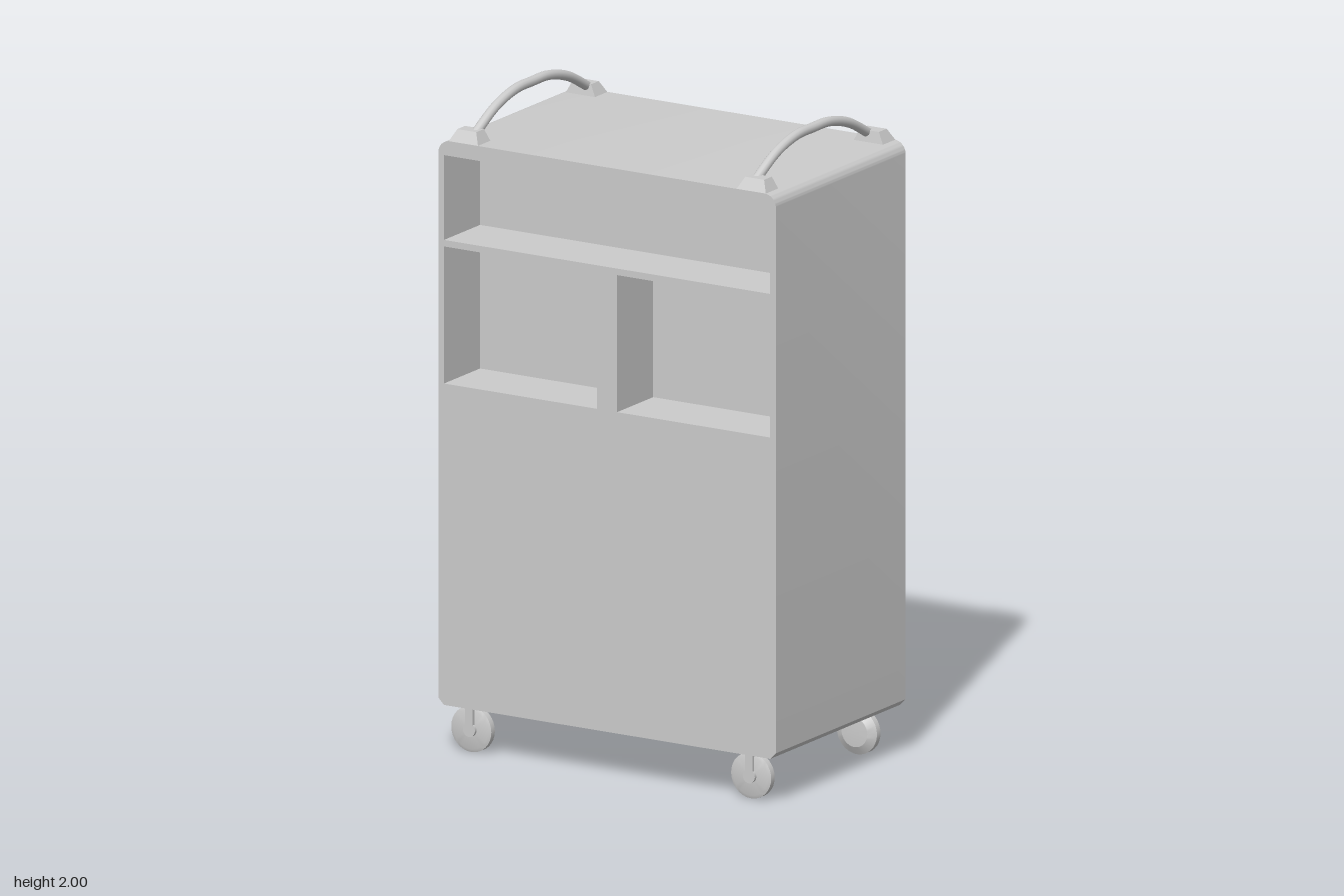
import * as THREE from 'three';
import { toCreasedNormals } from 'three/addons/utils/BufferGeometryUtils.js';

const W = 0.59, D = 0.36, Y0 = 0.145, Y1 = 1.875;
const grey = new THREE.MeshStandardMaterial({ color: 0xcccccc });
const thin = new THREE.MeshStandardMaterial({ color: 0xcccccc, side: THREE.DoubleSide });

function add(parent, name, geometry, material = grey) {
  const mesh = new THREE.Mesh(geometry, material);
  mesh.name = name;
  parent.add(mesh);
  return mesh;
}

// Cabinet outline: bevelled bottom corners, rounded top corners
function outline() {
  const r = 0.04, c = 0.02, s = new THREE.Shape();
  s.moveTo(-W + c, Y0);
  s.lineTo(W - c, Y0);
  s.lineTo(W, Y0 + c);
  s.lineTo(W, Y1 - r);
  s.absarc(W - r, Y1 - r, r, 0, Math.PI / 2);
  s.lineTo(-W + r, Y1);
  s.absarc(-W + r, Y1 - r, r, Math.PI / 2, Math.PI);
  s.lineTo(-W, Y0 + c);
  s.closePath();
  return s;
}

// Flat face of the cabinet with rectangular openings [x0, x1, y0, y1]
function face(openings) {
  const s = outline();
  for (const [x0, x1, y0, y1] of openings) {
    s.holes.push(new THREE.Path([[x0, y0], [x0, y1], [x1, y1], [x1, y0]]
      .map(([x, y]) => new THREE.Vector2(x, y))));
  }
  return new THREE.ShapeGeometry(s, 8);
}

// Outer skin running from back to front along the outline
function skin() {
  const pts = outline().getPoints(8), pos = [];
  pts.forEach((a, i) => {
    const b = pts[(i + 1) % pts.length];
    if (a.distanceTo(b) < 1e-6) return;
    pos.push(a.x, a.y, -D, b.x, b.y, -D, b.x, b.y, D, a.x, a.y, -D, b.x, b.y, D, a.x, a.y, D);
  });
  const g = new THREE.BufferGeometry();
  g.setAttribute('position', new THREE.Float32BufferAttribute(pos, 3));
  return toCreasedNormals(g, 0.6);
}

// Five-sided lining of a compartment, open at the front (dir 1) or back (dir -1)
function lining([x0, x1, y0, y1], depth, dir) {
  const g = new THREE.BoxGeometry(x1 - x0, y1 - y0, depth);
  const index = Array.from(g.index.array);
  index.splice(dir > 0 ? 24 : 30, 6);
  g.setIndex(index);
  g.clearGroups();
  return g.translate((x0 + x1) / 2, (y0 + y1) / 2, dir * (D - depth / 2));
}

// Tapered foot of a handle, standing at the front edge
function footGeometry() {
  const g = new THREE.BoxGeometry(1, 1, 1).toNonIndexed(), p = g.attributes.position;
  for (let i = 0; i < p.count; i++) {
    const top = p.getY(i) > 0, outer = p.getZ(i) > 0;
    p.setXYZ(i, Math.sign(p.getX(i)) * (top ? 0.033 : 0.052), top ? 1.91 : Y1 - 0.002,
      outer ? (top ? 0.34 : D) : (top ? 0.297 : 0.29));
  }
  g.computeVertexNormals();
  return g;
}

function handle(x) {
  const group = new THREE.Group();
  group.name = 'handle';
  const half = [[0.32, 1.893], [0.2, 1.955], [0.09, 1.983]];
  const pts = [...half, [0, 1.985], ...half.slice().reverse().map(([z, y]) => [-z, y])];
  const curve = new THREE.CatmullRomCurve3(pts.map(([z, y]) => new THREE.Vector3(Math.sign(x) * 0.49, y, z)));
  add(group, 'handleBar', new THREE.TubeGeometry(curve, 32, 0.015, 12));
  for (const turn of [0, Math.PI]) {
    const foot = add(group, 'handleFoot', footGeometry());
    foot.rotation.y = turn;
    foot.position.x = x;
  }
  return group;
}

// Caster: domed wheel towards the inside, stem and hub on the outside
function caster() {
  const group = new THREE.Group();
  group.name = 'caster';
  const profile = [[0, -0.025], [0.045, -0.022], [0.07, -0.008], [0.07, 0.012], [0.06, 0.016], [0, 0.016]]
    .map(([r, y]) => new THREE.Vector2(r, y));
  const wheel = toCreasedNormals(new THREE.LatheGeometry(profile, 32).rotateX(Math.PI / 2), 0.4);
  add(group, 'wheel', wheel).position.y = 0.07;
  add(group, 'stem', new THREE.BoxGeometry(0.026, 0.077, 0.014)).position.set(0, 0.1085, 0.018);
  add(group, 'neck', new THREE.BoxGeometry(0.026, 0.02, 0.045)).position.set(0, 0.138, 0.002);
  const hub = new THREE.CylinderGeometry(0.021, 0.021, 0.014, 20).rotateX(Math.PI / 2);
  add(group, 'hub', hub).position.set(0, 0.07, 0.018);
  return group;
}

export function createModel() {
  const model = new THREE.Group();
  model.name = 'rollingCabinet';

  // Cabinet shell with front cubbies and rear shelves
  const front = [[-0.57, 0.57, 1.57, 1.83], [-0.57, -0.035, 1.13, 1.55], [0.035, 0.57, 1.13, 1.55]];
  const back = [[-0.57, 0.57, 1.2, 1.86], [-0.57, 0.57, 0.165, 1.16]];
  add(model, 'cabinetSkin', skin(), thin);
  add(model, 'frontPanel', face(front), thin).position.z = D;
  const rear = add(model, 'backFrame', face(back), thin);
  rear.rotation.y = Math.PI;
  rear.position.z = -D;
  front.forEach(o => add(model, 'frontCubby', lining(o, 0.2, 1), thin));
  back.forEach(o => add(model, 'rearCompartment', lining(o, 0.39, -1), thin));

  // Hanging rail in the upper rear compartment
  const rail = new THREE.CylinderGeometry(0.013, 0.013, 1.14, 16).rotateZ(Math.PI / 2);
  add(model, 'hangingRail', rail).position.set(0, 1.75, -0.17);

  // Handles and casters
  for (const x of [-0.503, 0.503]) model.add(handle(x));
  for (const x of [-0.503, 0.475]) {
    for (const z of [0.303, -0.28]) {
      const c = caster();
      c.position.set(x, 0, z);
      if (z < 0) c.rotation.y = Math.PI;
      model.add(c);
    }
  }
  return model;
}
